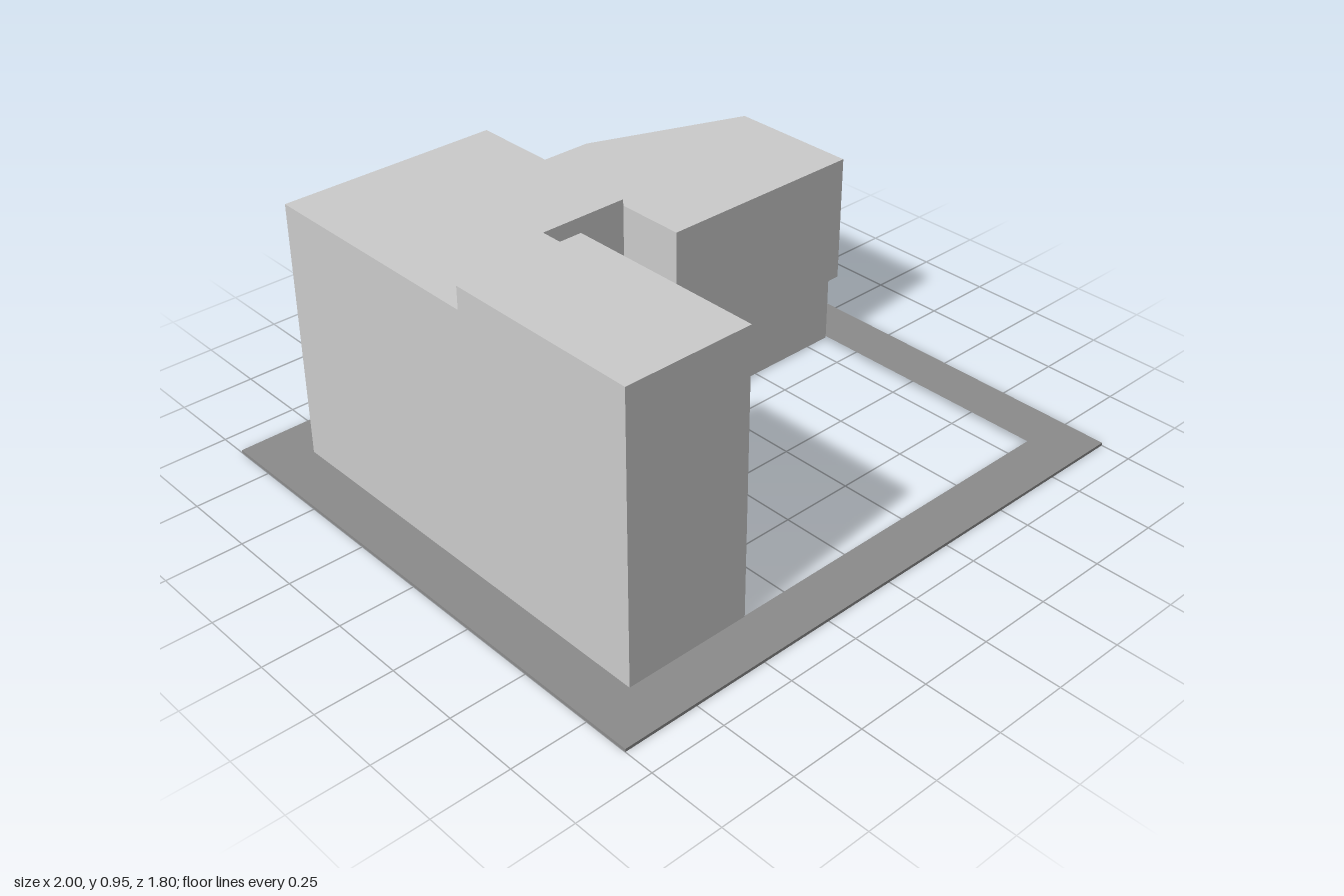
import * as THREE from 'three';

export function createModel() {
  const model = new THREE.Group();
  const wall = new THREE.MeshStandardMaterial({ color: 0xcccccc });
  wall.name = 'paleGrey';
  const paving = new THREE.MeshStandardMaterial({ color: 0x8c8c8c });
  paving.name = 'midGrey';

  // Extrudes a plan outline of [x, z] points from y0 up to y1.
  const toPoints = (plan) => plan.map(([x, z]) => new THREE.Vector2(x, -z));
  function prism(name, plan, y0, y1, material, hole) {
    const shape = new THREE.Shape(toPoints(plan));
    if (hole) shape.holes.push(new THREE.Path(toPoints(hole)));
    const geometry = new THREE.ExtrudeGeometry(shape, { depth: y1 - y0, bevelEnabled: false });
    geometry.rotateX(-Math.PI / 2).translate(0, y0, 0);
    const mesh = new THREE.Mesh(geometry, material);
    mesh.name = name;
    model.add(mesh);
  }

  // Pavement ring around the plot, with the cut-off back corner
  prism('pavement',
    [[-1, -0.9], [0.32, -0.9], [0.39, -0.89], [0.88, -0.71], [1, -0.55], [1, 0.9], [-1, 0.9]],
    0, 0.01, paving,
    [[-0.835, -0.74], [0.32, -0.74], [0.835, -0.55], [0.835, 0.735], [-0.835, 0.735]]);

  // L-shaped block and the taller block in front of it
  prism('cornerBlock',
    [[-0.84, -0.74], [-0.105, -0.74], [-0.105, -0.1], [-0.405, -0.1], [-0.405, 0.078], [-0.84, 0.078]],
    0.004, 0.877, wall);
  prism('tallBlock',
    [[-0.84, 0.078], [-0.415, 0.078], [-0.415, 0.737], [-0.84, 0.737]],
    0.004, 0.95, wall);

  // Small building: ground floor with a stepped front, overhanging upper floors
  prism('groundFloor',
    [[0.13, -0.737], [0.32, -0.737], [0.835, -0.55], [0.835, -0.132], [0.44, -0.132], [0.44, -0.122], [0.13, -0.122]],
    0.004, 0.245, wall);
  prism('upperFloors',
    [[0.115, -0.766], [0.32, -0.766], [0.855, -0.565], [0.855, -0.11], [0.115, -0.11]],
    0.245, 0.683, wall);

  return model;
}
